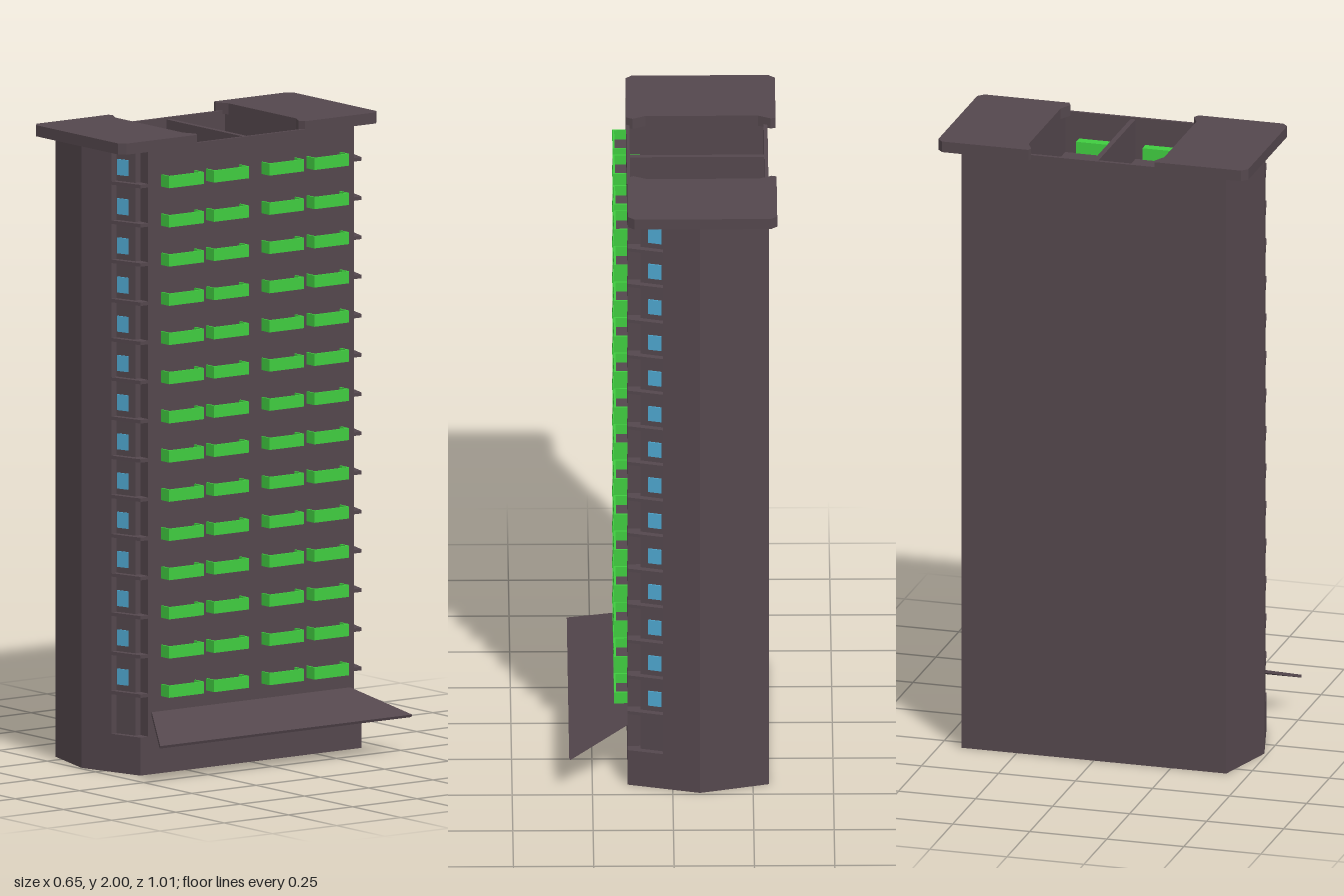
import * as THREE from 'three';

const wallMat = new THREE.MeshStandardMaterial({ color: 0x54474d, flatShading: true });
const greenMat = new THREE.MeshStandardMaterial({ color: 0x40cc40, flatShading: true });
const blueMat = new THREE.MeshStandardMaterial({ color: 0x4fa8d0, flatShading: true });

const FLOORS = 14, STEP = 0.1237;

export function createModel() {
  const model = new THREE.Group();
  model.name = 'towerBlock';

  const add = (name, geo, mat, x = 0, y = 0, z = 0, parent = model) => {
    const mesh = new THREE.Mesh(geo, mat);
    mesh.name = name;
    mesh.position.set(x, y, z);
    parent.add(mesh);
    return mesh;
  };
  // box given by its limits
  const box = (name, mat, x0, x1, y0, y1, z0, z1, parent) =>
    add(name, new THREE.BoxGeometry(x1 - x0, y1 - y0, z1 - z0), mat,
      (x0 + x1) / 2, (y0 + y1) / 2, (z0 + z1) / 2, parent);
  // upright prism from a plan of [x, z] points
  const prism = (plan, height, hole) => {
    const toPts = (p) => p.map(([x, z]) => new THREE.Vector2(x, -z));
    const shape = new THREE.Shape(toPts(plan));
    if (hole) shape.holes.push(new THREE.Path(toPts(hole)));
    return new THREE.ExtrudeGeometry(shape, { depth: height, bevelEnabled: false }).rotateX(-Math.PI / 2);
  };
  // closes a half plan by mirroring it across z = 0
  const mirrored = (half) => [...half, ...half.map(([x, z]) => [x, -z]).reverse()];

  // body: six-sided plinth, shaft with recessed corners, open roof storey
  const base = mirrored([[-0.3, 0.43], [-0.085, 0.49], [0.14, 0.43]]);
  const shaft = mirrored([[-0.3, 0.43], [-0.085, 0.49], [0.03, 0.46], [0.03, 0.44],
    [0.1, 0.42], [0.1, 0.4], [0.14, 0.4]]);
  const well = mirrored([[-0.288, 0.22], [0.13, 0.22]]);
  add('plinth', prism(base, 0.12), wallMat);
  add('shaft', prism(shaft, 1.72), wallMat, 0, 0.12);
  add('roofStorey', prism(shaft, 0.135, well), wallMat, 0, 1.84);
  box('roofDivider', wallMat, -0.289, 0.131, 1.84, 1.97, -0.008, 0.008);

  // roof caps at both ends
  const cap = [[-0.325, 0.205], [-0.31, 0.2], [-0.27, 0.22], [0.08, 0.22], [0.12, 0.2], [0.14, 0.21],
    [0.14, 0.485], [0.12, 0.503], [-0.305, 0.503], [-0.325, 0.485]];
  for (const s of [1, -1]) {
    add(s > 0 ? 'frontRoofCap' : 'backRoofCap',
      prism(cap.map(([x, z]) => [x, z * s]), 0.035), wallMat, 0, 1.965);
  }

  // corner loggias: floor slabs and windows on both ends
  const slab = [[0.03, 0.46], [0.14, 0.43], [0.14, 0.4], [0.1, 0.4], [0.1, 0.42], [0.03, 0.44]];
  const paneGeo = new THREE.BoxGeometry(0.042, 0.05, 0.008);
  for (const s of [1, -1]) {
    const loggias = new THREE.Group();
    loggias.name = s > 0 ? 'frontLoggias' : 'backLoggias';
    model.add(loggias);
    const slabGeo = prism(slab.map(([x, z]) => [x, z * s]), 0.011);
    for (let i = 0; i < FLOORS; i++) {
      const y = 0.245 + i * STEP;
      add('loggiaSlab', slabGeo, wallMat, 0, y, 0, loggias);
      add('loggiaWindow', paneGeo, blueMat, 0.055, y + 0.055, s * 0.433, loggias).rotation.y = s * 0.278;
    }
  }

  // balcony: open tray with thin walls and a dark floor, its back end set into the wall
  const makeBalcony = (z0, z1, y) => {
    const g = new THREE.Group();
    g.name = 'balcony';
    const y1 = y + 0.038, t = 0.006;
    box('balconyFront', greenMat, 0.182 - t, 0.182, y, y1, z0, z1, g);
    box('balconySide', greenMat, 0.138, 0.182 - t, y, y1, z0, z0 + t, g);
    box('balconySide', greenMat, 0.138, 0.182 - t, y, y1, z1 - t, z1, g);
    box('balconyBottom', greenMat, 0.138, 0.182 - t, y, y + 0.003, z0 + t, z1 - t, g);
    box('balconyFloor', wallMat, 0.138, 0.182 - t, y + 0.003, y + 0.006, z0 + t, z1 - t, g);
    return g;
  };
  const bays = [[-0.35, -0.215], [-0.175, -0.04], [0.04, 0.175], [0.215, 0.35]];
  for (let i = 0; i < FLOORS; i++) {
    for (const [z0, z1] of bays) model.add(makeBalcony(z0, z1, 0.243 + i * STEP));
  }
  // balcony ends showing inside the roof well
  for (const [z0, z1] of bays.slice(1, 3)) box('balconyInnerEnd', greenMat, 0.097, 0.131, 1.851, 1.889, z0, z1);

  // sloping entrance canopy, wider at its outer edge
  const canopy = prism(mirrored([[0, 0.385], [0.198, 0.49]]), 0.009);
  add('entranceCanopy', canopy, wallMat, 0.135, 0.188, 0).rotation.z = -0.375;

  return model;
}
